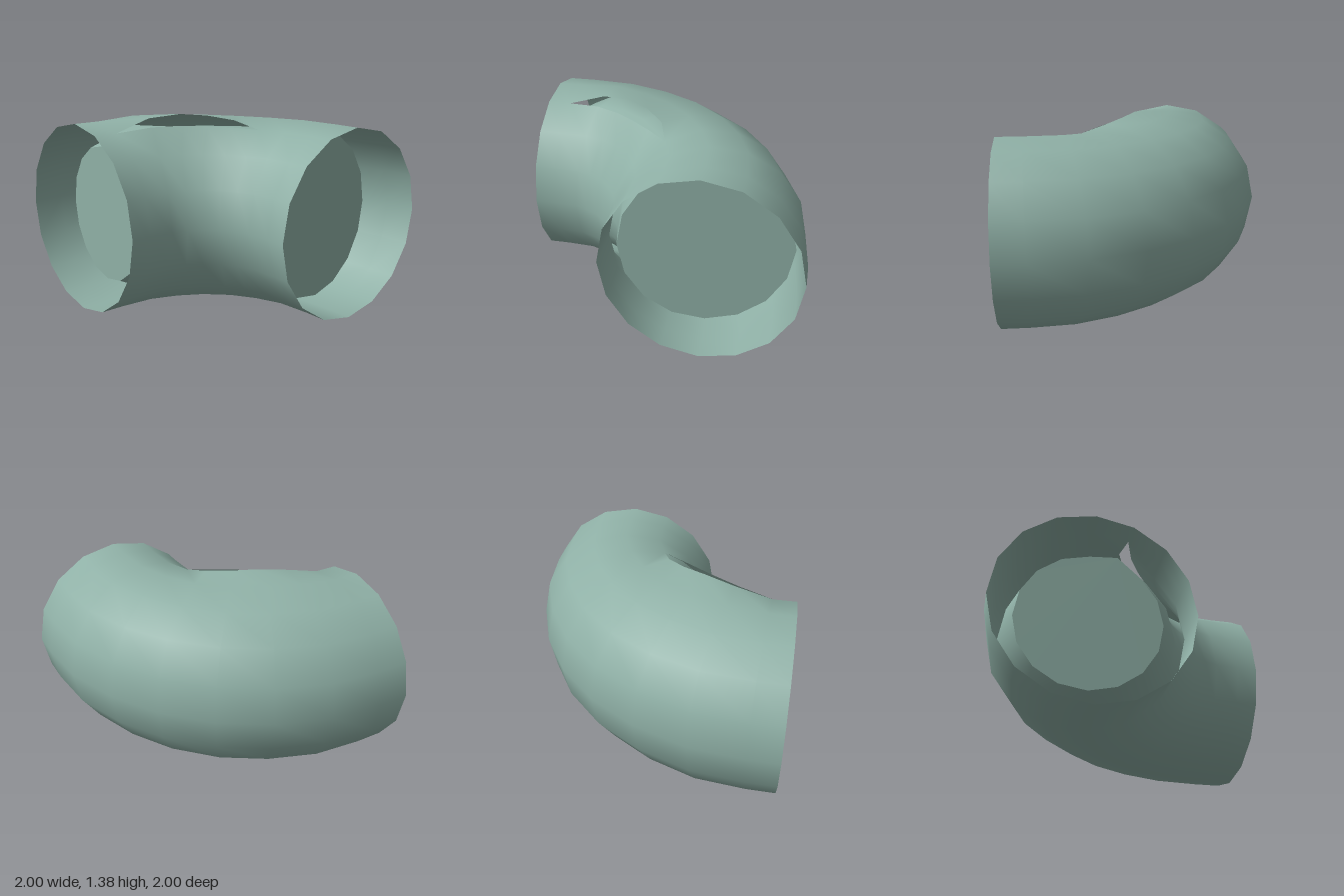
import * as THREE from 'three';
import { mergeVertices } from 'three/addons/utils/BufferGeometryUtils.js';

const SIDES = 16;
const AXIS_Y = 0.667;
const material = new THREE.MeshStandardMaterial({ color: 0x8fb0a6, side: THREE.DoubleSide });

// Stations along the first half of the bend: x, z and turn in degrees
const half = [
  [-0.333, 1, 0], [-0.333, 0.82, 3.5], [-0.31, 0.545, 13], [-0.22, 0.305, 26], [-0.09, 0.094, 38.7],
];
// The second half mirrors the first across the diagonal
const stations = [...half, ...[...half].reverse().map(([x, z, t]) => [z, x, 90 - t])];

// Ring around a station. It starts and ends on the seam, above the inside of the bend:
// point 0 is the roof side of the seam, point 1 the top, the last point the wall side.
function ring([x, z, turn], radius) {
  const t = THREE.MathUtils.degToRad(turn);
  return Array.from({ length: SIDES + 1 }, (_, j) => {
    const a = ((j + 3) / SIDES) * Math.PI * 2;
    const inward = radius * Math.cos(a);
    return new THREE.Vector3(x + inward * Math.cos(t), AXIS_Y + radius * Math.sin(a), z + inward * Math.sin(t));
  });
}

// Smooth skin joining successive rings, welded along the seam wherever its sides meet
function skin(rings) {
  const n = SIDES + 1;
  const index = [];
  for (let i = 0; i < rings.length - 1; i++) {
    for (let j = 0; j < SIDES; j++) {
      const a = i * n + j;
      index.push(a, a + n, a + 1, a + 1, a + n, a + n + 1);
    }
  }
  const geometry = new THREE.BufferGeometry().setFromPoints(rings.flat());
  geometry.setIndex(index);
  const welded = mergeVertices(geometry);
  welded.computeVertexNormals();
  return welded;
}

// Flat disc filling a ring
function disc(points, flip) {
  const index = [];
  for (let j = 1; j < SIDES - 1; j++) index.push(0, ...(flip ? [j + 1, j] : [j, j + 1]));
  const geometry = new THREE.BufferGeometry().setFromPoints(points);
  geometry.setIndex(index);
  geometry.computeVertexNormals();
  return geometry;
}

export function createModel() {
  const group = new THREE.Group();
  const add = (name, geometry) => {
    const mesh = new THREE.Mesh(geometry, material);
    mesh.name = name;
    group.add(mesh);
  };

  // Open pipe elbow, its seam split along the bend: the roof edge lifts, the wall edge leans inward
  const pipe = stations.map((s) => ring(s, 0.667));
  const roofEdge = [[-0.08, 1.36, 0.57], [0, 1.38, 0.36], [0.1, 1.365, 0.2], [0.24, 1.335, 0.07]];
  const wallEdge = [[0, 1.31, 0.6], [0.1, 1.315, 0.42], [0.2, 1.31, 0.28], [0.3, 1.3, 0.15]];
  const topHeights = [1.353, 1.35, 1.343, 1.336];
  topHeights.forEach((y, i) => {
    pipe[i + 2][0].set(...roofEdge[i]);
    pipe[i + 2][1].y = y;
    pipe[i + 2][SIDES].set(...wallEdge[i]);
  });
  add('pipeElbow', skin(pipe));

  // Recessed core inside the elbow: a narrow front end widening to the full bore
  const front = ring([-0.333, 0.79, 4], 0.49);
  const core = [front, ...[...stations.slice(2, 7), [0.69, -0.325, 82]].map((s) => ring(s, 0.595))];
  // Its seam swells beneath the split
  [1.165, 1.28, 1.29, 1.28, 1.25].forEach((y, i) => {
    core[i][0].y = y;
    core[i][SIDES].y = y;
  });
  core[1][1].y = 1.285;
  add('innerCore', skin(core));
  add('frontPlug', disc(front, false));
  add('sidePlug', disc(core[core.length - 1], true));

  return group;
}
